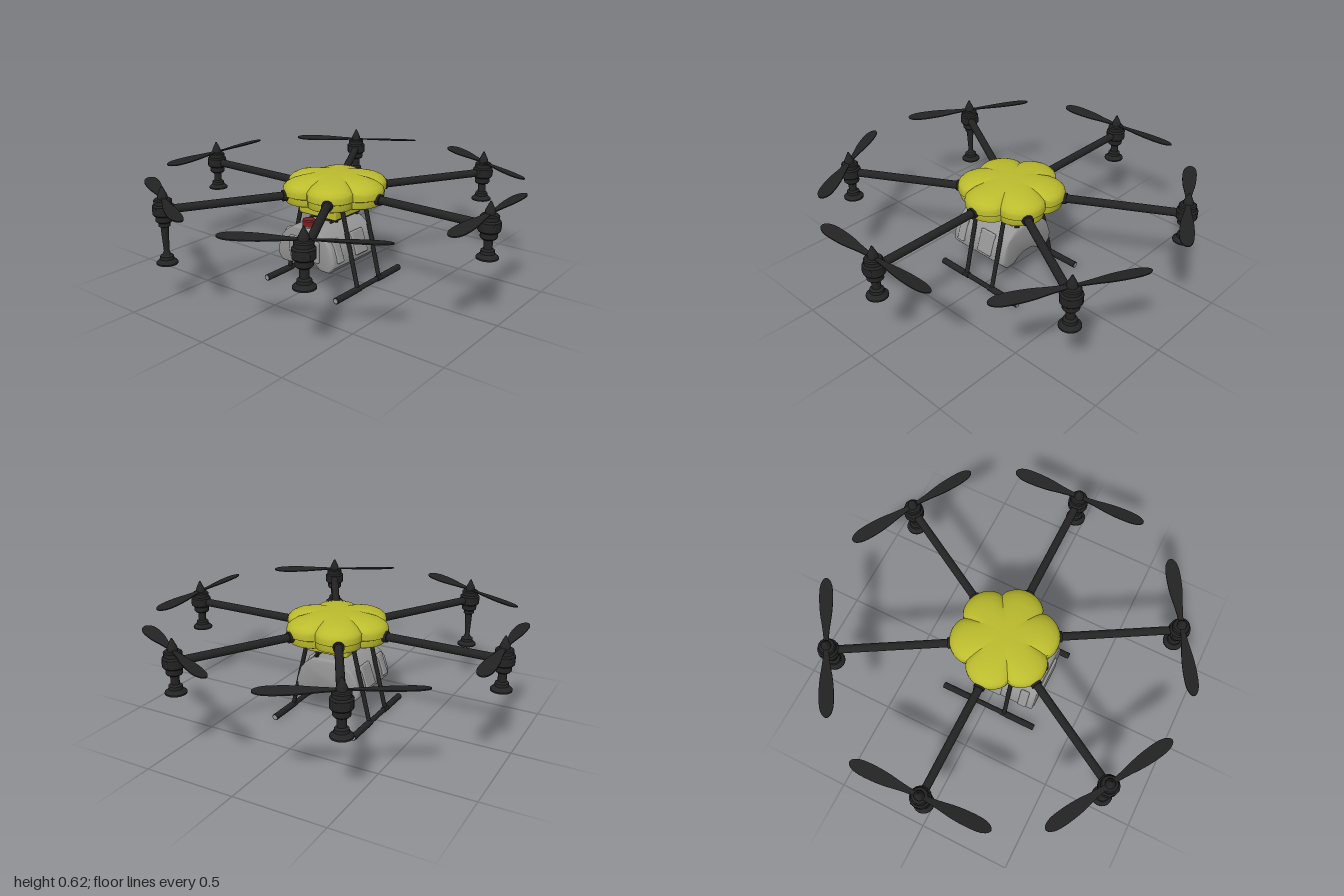
import * as THREE from 'three';
import { toCreasedNormals } from 'three/addons/utils/BufferGeometryUtils.js';
import { RoundedBoxGeometry } from 'three/addons/geometries/RoundedBoxGeometry.js';

const mat = (name, color) => new THREE.MeshStandardMaterial({ name, color });
const V2 = (p) => new THREE.Vector2(p[0], p[1]);
const V3 = (x, y, z) => new THREE.Vector3(x, y, z);

export function createModel() {
  const yellow = mat('shellYellow', 0xbcbc2e);
  const black = mat('carbonBlack', 0x232324);
  const grey = mat('tankGrey', 0x979797);
  const red = mat('capRed', 0x7d2020);

  const drone = new THREE.Group();
  drone.name = 'sprayDrone';

  function add(parent, name, geometry, material, x = 0, y = 0, z = 0) {
    const mesh = new THREE.Mesh(geometry, material);
    mesh.name = name;
    mesh.position.set(x, y, z);
    parent.add(mesh);
    return mesh;
  }
  const box = (w, h, d, r = 0.01) => new RoundedBoxGeometry(w, h, d, 3, r);
  const lathe = (profile, sides = 20) =>
    toCreasedNormals(new THREE.LatheGeometry(profile.map(V2), sides), 0.55);

  // Straight rod between two points
  function rod(parent, name, a, b, radius, material, sides = 14) {
    const dir = b.clone().sub(a);
    const mesh = add(parent, name, new THREE.CylinderGeometry(radius, radius, dir.length(), sides), material);
    mesh.position.copy(a).add(b).multiplyScalar(0.5);
    mesh.quaternion.setFromUnitVectors(V3(0, 1, 0), dir.normalize());
    return mesh;
  }

  // Six-lobed shell: a lathe whose radius follows the arm directions
  function lobed(profile) {
    const g = new THREE.LatheGeometry(profile.map(V2), 96);
    const p = g.attributes.position;
    for (let i = 0; i < p.count; i++) {
      const x = p.getX(i), z = p.getZ(i), s = Math.hypot(x, z);
      const lobe = Math.pow(Math.abs(Math.cos(3 * Math.atan2(z, x))), 0.7);
      const r = 0.24 + 0.05 * lobe;
      p.setX(i, x * r);
      p.setZ(i, z * r);
      // valleys dip a little near the rim
      if (s > 0.6 && p.getY(i) > 0.55) p.setY(i, p.getY(i) - 0.008 * (1 - lobe));
    }
    return toCreasedNormals(g, 0.6);
  }
  add(drone, 'upperShell', lobed([[0, 0.495], [0.96, 0.495], [1, 0.5], [1, 0.525], [0.985, 0.54],
    [0.93, 0.557], [0.82, 0.573], [0.66, 0.585], [0.45, 0.592], [0.2, 0.595], [0, 0.595]]), yellow);
  add(drone, 'lowerShell', lobed([[0, 0.452], [0.9, 0.452], [0.95, 0.458], [0.965, 0.47], [0.965, 0.497]]), yellow);
  add(drone, 'electronicsBay', box(0.25, 0.09, 0.285, 0.012), yellow, 0, 0.43, 0.017);

  // Propeller blade, lying along +x
  const side = [[0.02, 0.011], [0.1, 0.02], [0.18, 0.032], [0.26, 0.037], [0.33, 0.034], [0.37, 0.02]];
  const outline = new THREE.SplineCurve([...side, [0.384, 0], ...side.map(([u, w]) => [u, -w]).reverse()].map(V2));
  const bladeGeo = new THREE.ExtrudeGeometry(new THREE.Shape(outline.getPoints(40)),
    { depth: 0.006, bevelEnabled: false });
  bladeGeo.rotateX(Math.PI / 2);
  bladeGeo.translate(0, 0.003, 0);
  const bp = bladeGeo.attributes.position;
  for (let i = 0; i < bp.count; i++) bp.setY(i, bp.getY(i) + bp.getZ(i) * 0.14);
  bladeGeo.computeVertexNormals();

  const motorGeo = lathe([[0, 0.435], [0.036, 0.435], [0.042, 0.442], [0.042, 0.468], [0.05, 0.472], [0.055, 0.478],
    [0.055, 0.522], [0.046, 0.53], [0.046, 0.55], [0.04, 0.556], [0.026, 0.558], [0.026, 0.572],
    [0.021, 0.584], [0.012, 0.603], [0.004, 0.62], [0, 0.621]], 16);
  const nozzle = (y) => [[0, y], [0.055, y], [0.055, y + 0.008], [0.036, y + 0.026], [0.034, y + 0.042], [0.022, y + 0.05]];
  const shortSpray = lathe([...nozzle(0.335), [0.022, 0.44]]);
  const longSpray = lathe([...nozzle(0.212), [0.014, 0.28], [0.021, 0.41], [0.03, 0.415], [0.03, 0.44]]);

  // Six arms, each built along +x and turned into place
  for (let i = 0; i < 6; i++) {
    const arm = new THREE.Group();
    arm.name = 'arm' + (i + 1);
    arm.rotation.y = (i * Math.PI) / 3;
    drone.add(arm);
    rod(arm, 'armTube', V3(0.2, 0.498, 0), V3(0.955, 0.498, 0), 0.022, black, 18);
    rod(arm, 'armCollar', V3(0.245, 0.498, 0), V3(0.3, 0.498, 0), 0.03, black, 18);
    add(arm, 'motorClamp', box(0.1, 0.046, 0.07), black, 0.92, 0.498, 0);
    add(arm, 'motor', motorGeo, black, 0.92, 0, 0);
    // the front right arm carries the long spray lance
    add(arm, 'sprayNozzle', i === 4 ? longSpray : shortSpray, black, 0.92, 0, 0);
    for (const s of [1, -1]) {
      const blade = add(arm, 'propellerBlade', bladeGeo, black, 0.92, 0.56, 0);
      blade.rotation.y = (s * Math.PI) / 2 + 0.02;
    }
  }

  // Liquid tank: half cross-section mirrored, then extruded front to back
  const half = [[0.075, 0.34], [0.1, 0.325], [0.135, 0.298], [0.158, 0.27], [0.18, 0.205], [0.18, 0.17],
    [0.155, 0.143], [0.105, 0.143], [0.065, 0.172], [0.03, 0.184]];
  const section = [...half, ...half.map(([x, y]) => [-x, y]).reverse()].map(V2);
  const tankGeo = new THREE.ExtrudeGeometry(new THREE.Shape(section),
    { depth: 0.35, bevelThickness: 0.015, bevelSize: 0.01, bevelSegments: 3 });
  tankGeo.translate(0, 0, -0.105);
  const tank = new THREE.Group();
  tank.name = 'tank';
  drone.add(tank);
  add(tank, 'tankBody', toCreasedNormals(tankGeo, 0.7), grey);
  add(tank, 'tankFrontPanel', box(0.2, 0.12, 0.03), grey, 0, 0.235, 0.258);
  add(tank, 'fillerNeck', new THREE.CylinderGeometry(0.028, 0.032, 0.03, 20), grey, 0, 0.35, 0.222);
  add(tank, 'fillerCap', lathe([[0, 0], [0.035, 0], [0.035, 0.03], [0.03, 0.037], [0, 0.037]], 24), red, 0, 0.355, 0.222);
  for (const s of [1, -1]) {
    for (const [z, w] of [[0.2, 0.05], [0.02, 0.1]]) {
      const rib = add(tank, 'tankRib', box(0.02, 0.13, w, 0.008), grey, s * 0.174, 0.248, z);
      rib.rotation.z = s * 0.33;
    }
  }

  // Pump, hoses and hanger rails between tank and bay
  add(drone, 'pump', box(0.07, 0.05, 0.09), black, 0, 0.368, 0.05);
  for (const s of [1, -1]) {
    rod(drone, 'tankRail', V3(s * 0.07, 0.362, 0.13), V3(s * 0.07, 0.362, -0.12), 0.007, black);
    for (const z of [0.08, -0.1])
      rod(drone, 'railHanger', V3(s * 0.07, 0.34, z), V3(s * 0.07, 0.4, z), 0.009, black);
    const path = new THREE.CatmullRomCurve3([V3(s * 0.03, 0.365, 0.06), V3(s * 0.05, 0.37, 0.11),
      V3(s * 0.06, 0.385, 0.12), V3(s * 0.06, 0.42, 0.1)]);
    add(drone, 'hose', new THREE.TubeGeometry(path, 16, 0.006, 8), black);
  }

  // Landing gear: two splayed legs and a skid on each side
  for (const s of [1, -1]) {
    const gear = new THREE.Group();
    gear.name = s > 0 ? 'leftLandingGear' : 'rightLandingGear';
    drone.add(gear);
    for (const z of [0.115, -0.08]) {
      rod(gear, 'leg', V3(s * 0.132, 0.46, z), V3(s * 0.24, 0.02, z), 0.012, black);
      rod(gear, 'legJoint', V3(s * 0.24, 0.018, z - 0.02), V3(s * 0.24, 0.018, z + 0.02), 0.017, black);
    }
    rod(gear, 'skidTube', V3(s * 0.24, 0.018, -0.272), V3(s * 0.24, 0.018, 0.302), 0.013, grey);
    rod(gear, 'skidSleeve', V3(s * 0.24, 0.018, -0.1), V3(s * 0.24, 0.018, 0.14), 0.014, black);
    for (const [a, b] of [[0.13, 0.3], [-0.27, -0.09]])
      rod(gear, 'skidGrip', V3(s * 0.24, 0.018, a), V3(s * 0.24, 0.018, b), 0.018, black);
  }
  return drone;
}
